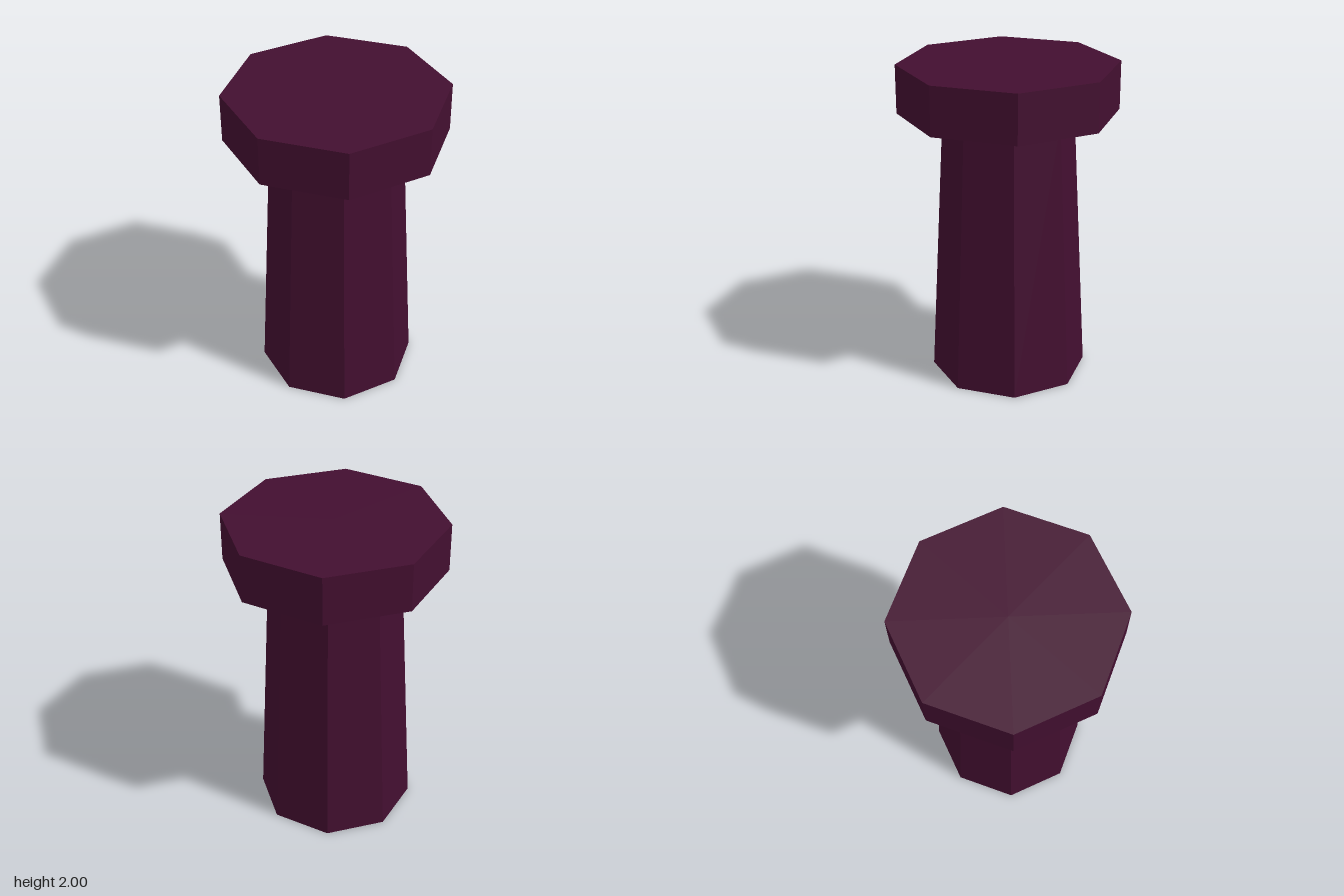
import * as THREE from 'three';

const SIDES = 8;

export function createModel() {
  const model = new THREE.Group();
  const darkPlum = new THREE.MeshStandardMaterial({ color: 0x430f30, flatShading: true, side: THREE.DoubleSide });
  darkPlum.name = 'darkPlum';

  function add(name, geometry, y) {
    const mesh = new THREE.Mesh(geometry, darkPlum);
    mesh.name = name;
    mesh.position.y = y;
    model.add(mesh);
  }

  // Tapered hollow shaft, open at both ends
  add('shaft', new THREE.CylinderGeometry(0.4, 0.49, 1.7, SIDES, 1, true), 0.85);

  // Wide head: a wall open underneath, closed by a flat top
  add('headWall', new THREE.CylinderGeometry(0.675, 0.675, 0.3, SIDES, 1, true), 1.85);
  add('headTop', new THREE.CircleGeometry(0.675, SIDES).rotateX(-Math.PI / 2), 2);

  return model;
}
